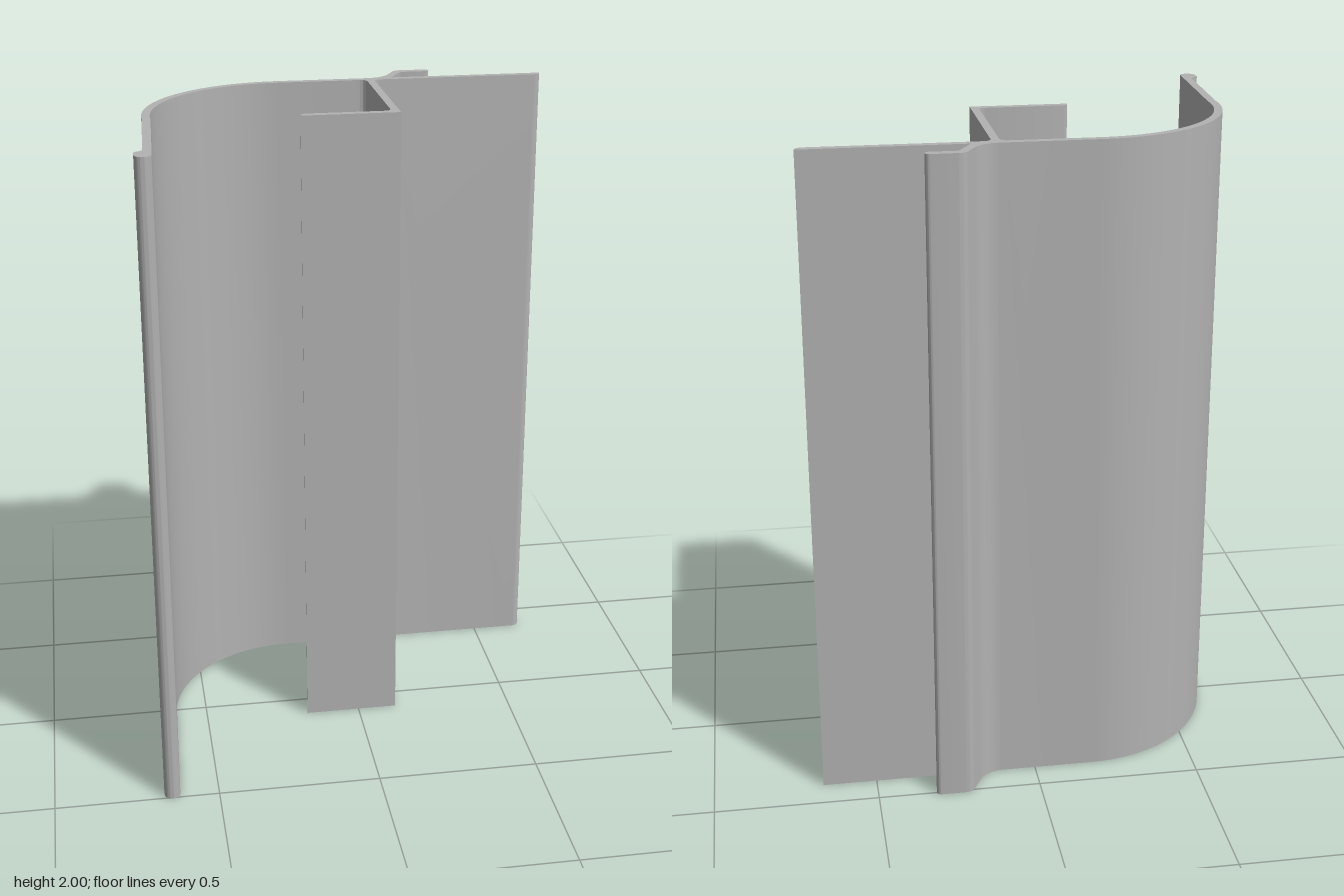
import * as THREE from 'three';
import { toCreasedNormals } from 'three/addons/utils/BufferGeometryUtils.js';

const LENGTH = 2;

// Cross-section drawn in plan: x to the right, y towards the back (-z)
function profileShape() {
  const s = new THREE.Shape();
  const line = (...pts) => pts.forEach(([x, y]) => s.lineTo(x, y));
  const round = (cx, cy, x, y) => s.quadraticCurveTo(cx, cy, x, y);
  const tilt = Math.PI + 0.045;

  // back face of the flange, up to the hooked fin
  s.moveTo(0.665, 0.405);
  line([0.185, 0.405], [0.228, 0.484], [0.308, 0.484]);
  s.absarc(0.308, 0.498, 0.014, -Math.PI / 2, Math.PI / 2, false);
  line([0.232, 0.512]);
  round(0.212, 0.512, 0.203, 0.494);
  line([0.181, 0.452]);
  round(0.155, 0.405, 0.1, 0.405);

  // outside of the curved wall and its straight skirt
  line([-0.18, 0.405]);
  s.absarc(-0.18, -0.04, 0.445, Math.PI / 2, tilt, false);
  line([-0.642, -0.425]);

  // bead at the end of the skirt
  round(-0.644, -0.436, -0.655, -0.44);
  round(-0.667, -0.446, -0.667, -0.458);
  line([-0.667, -0.48]);
  s.absarc(-0.643, -0.481, 0.024, Math.PI, Math.PI * 2, false);

  // inside of the curved wall
  s.lineTo(-0.18 + 0.42 * Math.cos(tilt), -0.04 + 0.42 * Math.sin(tilt));
  s.absarc(-0.18, -0.04, 0.42, tilt, Math.PI / 2, true);

  // L-shaped web with filleted corners
  line([0.075, 0.38]);
  round(0.1, 0.38, 0.1, 0.355);
  line([0.1, -0.04]);
  round(0.1, -0.063, 0.077, -0.063);
  line([-0.15, -0.063]);
  round(-0.171, -0.063, -0.171, -0.088);
  line([0.124, -0.088], [0.124, 0.355]);
  round(0.124, 0.38, 0.149, 0.38);

  // front face of the flange, rounded at its tip
  line([0.642, 0.38]);
  round(0.662, 0.382, 0.665, 0.405);
  return s;
}

export function createModel() {
  const group = new THREE.Group();
  group.name = 'extrudedTrim';

  const metal = new THREE.MeshStandardMaterial({ color: 0xb2b2b2 });
  metal.name = 'grey metal';

  // stand the extrusion upright
  const extrusion = new THREE.ExtrudeGeometry(profileShape(), {
    depth: LENGTH, bevelEnabled: false, curveSegments: 16,
  });
  extrusion.rotateX(-Math.PI / 2);

  const profile = new THREE.Mesh(toCreasedNormals(extrusion, 0.5), metal);
  profile.name = 'profile';
  group.add(profile);
  return group;
}
